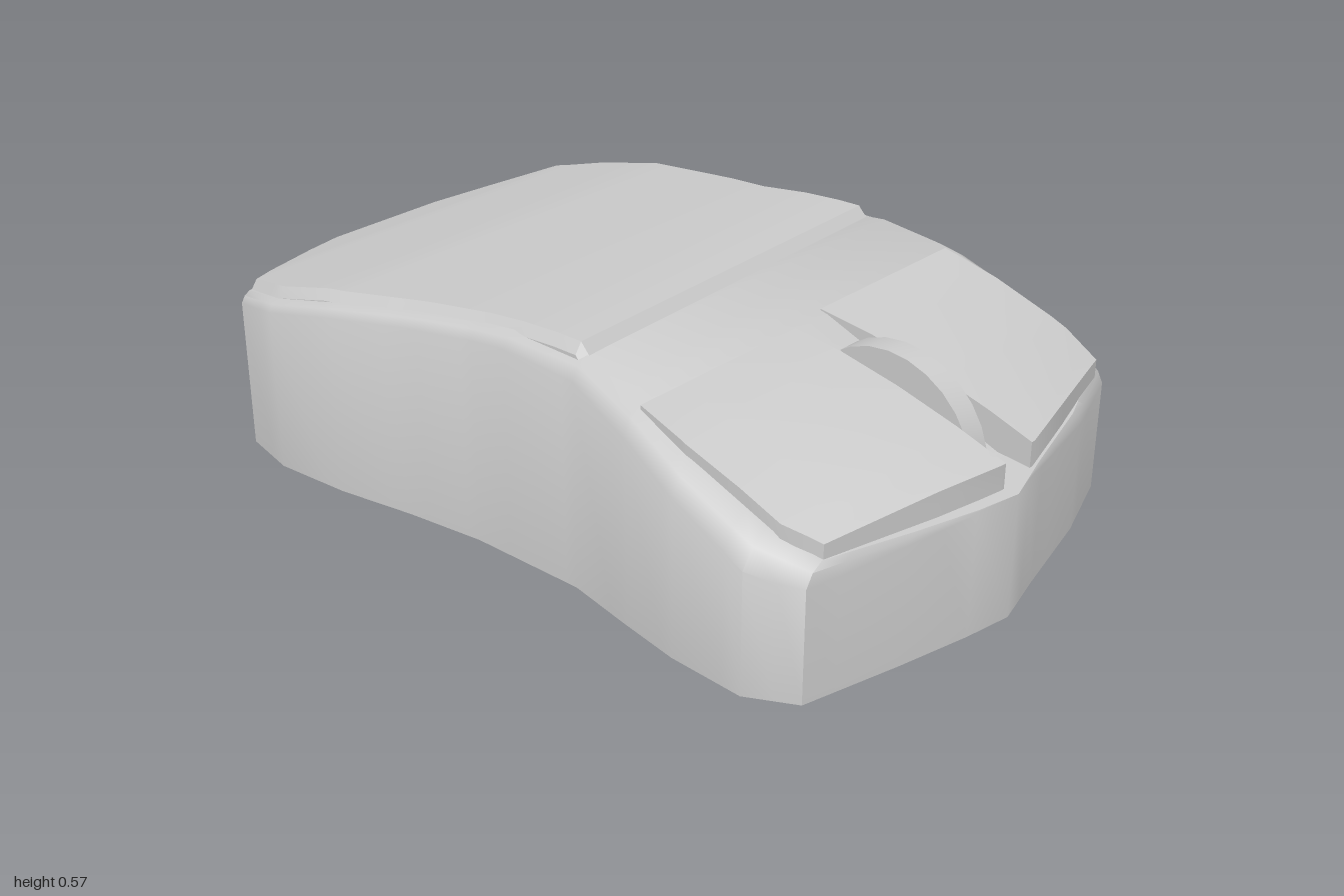
import * as THREE from 'three';
import { toCreasedNormals } from 'three/addons/utils/BufferGeometryUtils.js';

const material = new THREE.MeshStandardMaterial({ color: 0xcccccc });

// Piecewise linear curve through [x, value] points
function curve(points) {
  const f = (x) => {
    if (x <= points[0][0]) return points[0][1];
    for (let i = 1; i < points.length; i++) {
      const [x0, v0] = points[i - 1], [x1, v1] = points[i];
      if (x <= x1) return v0 + ((v1 - v0) * (x - x0)) / (x1 - x0);
    }
    return points[points.length - 1][1];
  };
  f.xs = points.map((p) => p[0]);
  return f;
}

// All key x positions of some curves, between two limits
function stations(from, to, ...curves) {
  const xs = curves.flatMap((c) => c.xs).filter((x) => x > from && x < to);
  return [...new Set([from, ...xs, to])].sort((a, b) => a - b);
}

// Skin over rings of [x, y, z]; each ring runs back-bottom, over the top, to front-bottom
function loft(rings, crease) {
  const n = rings[0].length, last = rings.length - 1, index = [];
  for (let i = 0; i < last; i++) {
    for (let j = 0; j < n; j++) {
      const k = (j + 1) % n;
      const a = i * n + j, b = a + n, c = (i + 1) * n + k, d = i * n + k;
      index.push(a, c, b, a, d, c);
    }
  }
  for (let j = 1; j < n - 1; j++) {
    index.push(0, j + 1, j, last * n, last * n + j, last * n + j + 1);
  }
  const geometry = new THREE.BufferGeometry();
  geometry.setAttribute('position', new THREE.Float32BufferAttribute(rings.flat(2), 3));
  geometry.setIndex(index);
  return toCreasedNormals(geometry, crease);
}

function part(name, geometry) {
  const mesh = new THREE.Mesh(geometry, material);
  mesh.name = name;
  return mesh;
}

// Footprint edges and top profile of the body
const front = curve([[-1, 0.03], [-0.97, 0.2], [-0.92, 0.34], [-0.8, 0.61], [-0.65, 0.64],
  [-0.45, 0.62], [-0.25, 0.58], [-0.05, 0.55], [0.25, 0.54], [0.42, 0.57], [0.58, 0.595],
  [0.77, 0.6], [0.88, 0.54], [0.94, 0.3], [0.98, 0.12], [1, 0]]);
const back = curve([[-1, 0.03], [-0.97, -0.15], [-0.92, -0.32], [-0.85, -0.53], [-0.7, -0.575],
  [-0.5, -0.575], [-0.3, -0.555], [-0.08, -0.53], [0.22, -0.55], [0.38, -0.605],
  [0.55, -0.635], [0.72, -0.645], [0.83, -0.6], [0.9, -0.4], [0.96, -0.15], [1, 0]]);
const bodyTop = curve([[-1, 0.34], [-0.93, 0.355], [-0.8, 0.4], [-0.45, 0.478], [-0.2, 0.515],
  [0.05, 0.545], [0.25, 0.545], [0.43, 0.5], [0.88, 0.315], [1, 0.3]]);
const bevel = curve([[-1, 0], [-0.8, 0.025], [0.1, 0.035], [0.4, 0.055], [0.8, 0.07], [0.9, 0.04], [1, 0]]);

// Body: upright walls with a rounded shoulder
function bodyGeometry() {
  const rings = stations(-1, 1, front, back, bodyTop).map((x) => {
    const zb = back(x), zf = front(x), y = bodyTop(x);
    const b = Math.min(bevel(x), (zf - zb) * 0.4);
    return [
      [x, 0, zb], [x, y - b, zb], [x, y - b * 0.35, zb + b * 0.4], [x, y, zb + b],
      [x, y, zf - b], [x, y - b * 0.35, zf - b * 0.4], [x, y - b, zf], [x, 0, zf],
    ];
  });
  return loft(rings, 0.7);
}

// Palm cover: thin chamfered shell whose front edge is slightly skewed
function palmGeometry() {
  const top = curve([[-0.99, 0.345], [-0.965, 0.37], [-0.83, 0.415], [-0.5, 0.495],
    [-0.2, 0.537], [0.05, 0.565], [0.15, 0.57], [0.21, 0.57], [0.235, 0.54]]);
  const rings = stations(-0.99, 0.235, top, front, back).map((x) => {
    const inset = Math.min(0.03, (x + 1) * 0.15);
    const zb = back(x) + inset * 1.2, zf = front(x) - inset;
    const c = Math.min(0.018, (zf - zb) * 0.2);
    const y = top(x), base = bodyTop(x) - 0.03;
    const skew = (z) => x + 0.045 * z * Math.max(0, (x + 0.6) / 0.83);
    return [[zb, base], [zb, Math.max(base, y - 0.025)], [zb + c, y],
      [zf - c, y], [zf, Math.max(base, y - 0.025)], [zf, base]].map(([z, h]) => [skew(z), h, z]);
  });
  return loft(rings, 0.4);
}

// Button: sloping plate that dips towards its outer front corner
function buttonGeometry(zBack, zFront) {
  const top = curve([[0.41, 0.508], [0.55, 0.488], [0.7, 0.453], [0.85, 0.408], [0.97, 0.365]]);
  const height = (x, z) => top(x) - 0.2 * z * z * Math.max(0, (x - 0.42) / 0.46);
  const xs = stations(zBack.xs[0], zBack.xs[zBack.xs.length - 1], zBack, zFront, top);
  const rings = xs.map((x) => {
    const zb = zBack(x), zf = zFront(x), ring = [[x, 0.305, zb]];
    for (let i = 0; i <= 4; i++) {
      const z = zb + ((zf - zb) * i) / 4;
      ring.push([x, height(x, z), z]);
    }
    ring.push([x, 0.305, zf]);
    return ring;
  });
  return loft(rings, 0.5);
}

export function createModel() {
  const model = new THREE.Group();
  model.name = 'computerMouse';
  model.add(part('body', bodyGeometry()));
  model.add(part('palmCover', palmGeometry()));

  model.add(part('rightButton', buttonGeometry(
    curve([[0.43, 0.035], [0.97, 0.01]]),
    curve([[0.43, 0.525], [0.56, 0.535], [0.8, 0.525], [0.88, 0.49], [0.94, 0.2], [0.97, 0.02]]),
  )));
  model.add(part('leftButton', buttonGeometry(
    curve([[0.41, -0.545], [0.74, -0.57], [0.84, -0.545], [0.91, -0.3], [0.96, -0.11]]),
    curve([[0.41, -0.075], [0.96, -0.1]]),
  )));

  // Scroll wheel, half sunk in the gap between the buttons
  const wheel = part('scrollWheel', toCreasedNormals(new THREE.CylinderGeometry(0.23, 0.23, 0.06, 28), 0.6));
  wheel.rotation.set(Math.PI / 2, 0, 0);
  wheel.position.set(0.645, 0.275, -0.042);
  model.add(wheel);
  return model;
}
